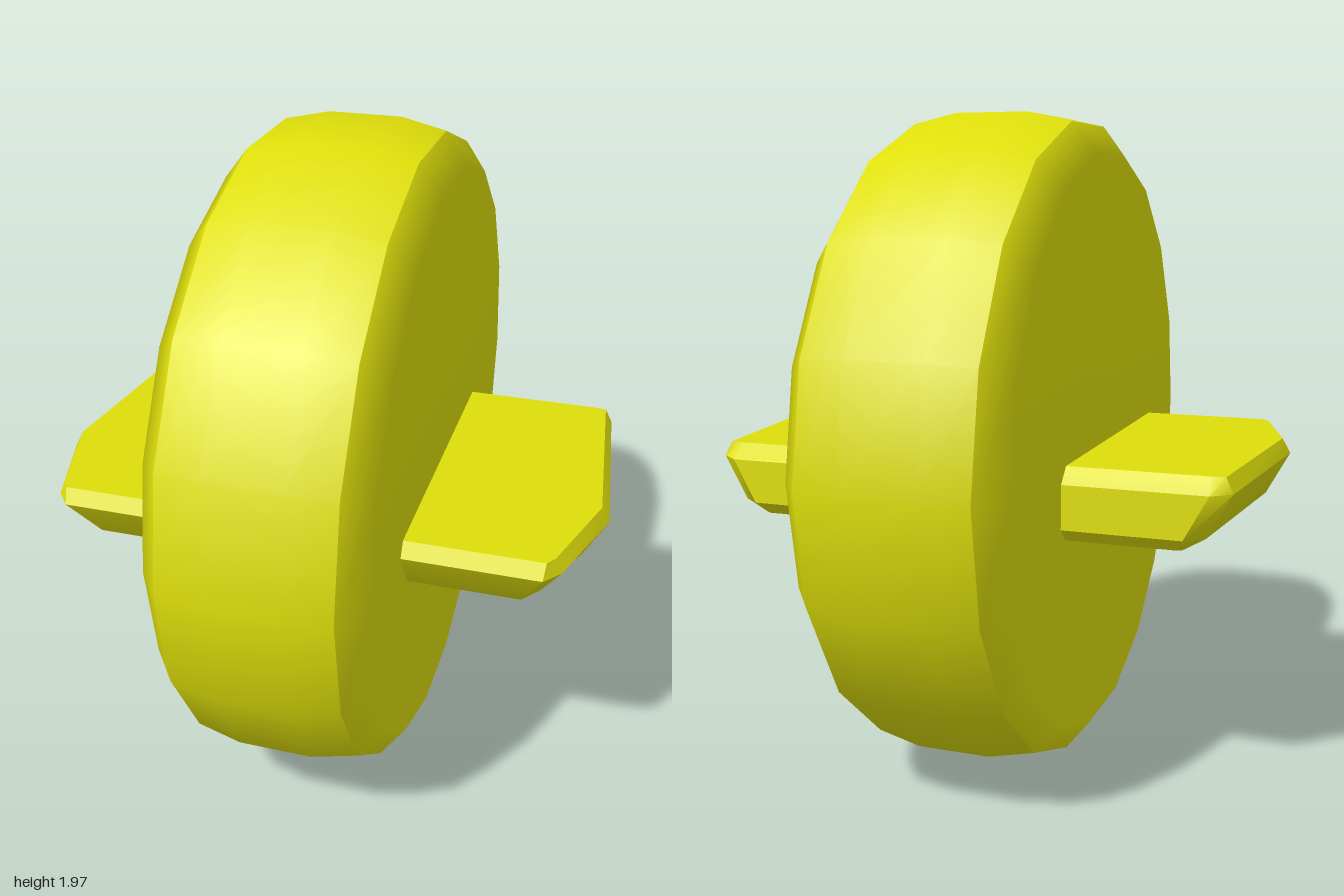
import * as THREE from 'three';
import { toCreasedNormals } from 'three/addons/utils/BufferGeometryUtils.js';

const CENTER_Y = 0.985;

// Solid plate from horizontal outlines, listed top to bottom; each outline is
// the +x half as [x, z] from back to front and is mirrored to close it.
function loftPlate(levels) {
  const pos = [], idx = [];
  const n = levels[0].half.length * 2;
  for (const { y, half } of levels) {
    const mirrored = half.map(([x, z]) => [-x, z]).reverse();
    for (const [x, z] of [...half, ...mirrored]) pos.push(x, y, z);
  }
  for (let l = 0; l < levels.length - 1; l++) {
    for (let i = 0; i < n; i++) {
      const a = l * n + i, b = l * n + (i + 1) % n;
      idx.push(a, b, b + n, a, b + n, a + n);
    }
  }
  const last = (levels.length - 1) * n;
  for (let i = 1; i < n - 1; i++) {
    idx.push(0, i + 1, i);
    idx.push(last, last + i, last + i + 1);
  }
  const geo = new THREE.BufferGeometry();
  geo.setAttribute('position', new THREE.Float32BufferAttribute(pos, 3));
  geo.setIndex(idx);
  return toCreasedNormals(geo, THREE.MathUtils.degToRad(40));
}

export function createModel() {
  const group = new THREE.Group();
  const yellow = new THREE.MeshStandardMaterial({ color: 0xdede0a });
  yellow.name = 'yellow';

  const add = (name, geo) => {
    const mesh = new THREE.Mesh(geo, yellow);
    mesh.name = name;
    group.add(mesh);
  };

  // Wheel: tread and two side faces, split so the rim edges stay sharp
  const lathe = (points) =>
    new THREE.LatheGeometry(points.map(([r, x]) => new THREE.Vector2(r, x)), 18)
      .rotateZ(-Math.PI / 2)
      .translate(0, CENTER_Y, 0);
  add('wheelTread', lathe([[0.97, -0.245], [1, -0.11], [1, 0.11], [0.97, 0.245]]));
  add('wheelLeftFace', lathe([[0.97, 0.245], [0.88, 0.315], [0, 0.315]]));
  add('wheelRightFace', lathe([[0, -0.315], [0.88, -0.315], [0.97, -0.245]]));

  // Footrest plate running through the wheel, bevelled above and below
  add('footPlate', loftPlate([
    { y: 0.985, half: [[0.725, -0.42], [0.765, -0.415], [0.825, 0.21], [0.735, 0.51], [0.715, 0.54]] },
    { y: 0.94, half: [[0.73, -0.465], [0.787, -0.42], [0.85, 0.21], [0.755, 0.51], [0.71, 0.565]] },
    { y: 0.81, half: [[0.66, -0.465], [0.715, -0.42], [0.78, 0.2], [0.69, 0.42], [0.645, 0.48]] },
    { y: 0.77, half: [[0.635, -0.42], [0.65, -0.41], [0.71, 0.18], [0.645, 0.385], [0.63, 0.41]] },
  ]));

  return group;
}
